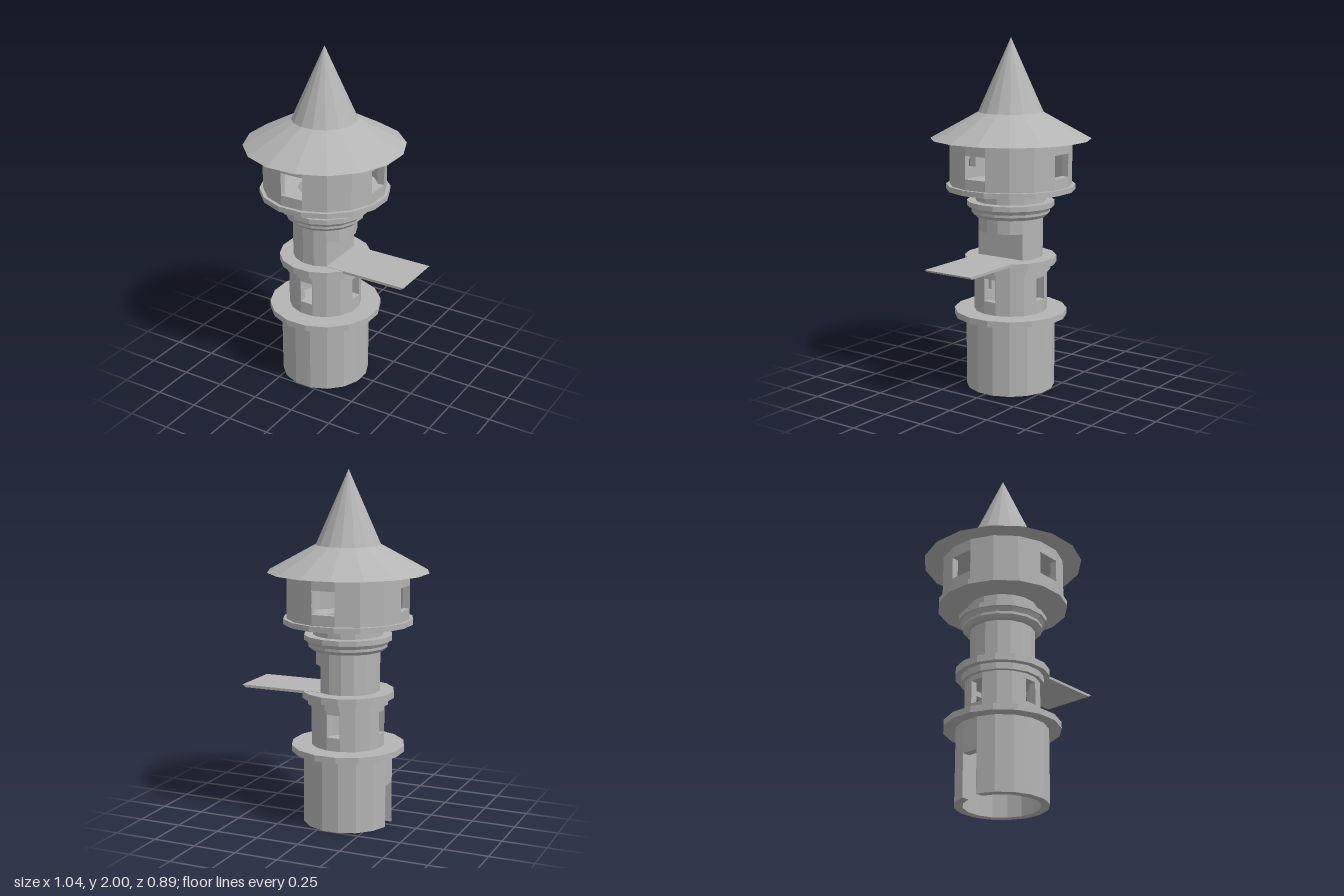
import * as THREE from 'three';

const SIDES = 16;
const STEP = (Math.PI * 2) / SIDES;
const COS = Math.cos(STEP / 2);

const stone = new THREE.MeshStandardMaterial({ color: 0xb4b4b4 });
stone.name = 'grey stone';

export function createModel() {
  const model = new THREE.Group();
  model.name = 'watchtower';
  const tower = new THREE.Group();
  tower.name = 'tower';
  tower.position.x = -0.08;
  model.add(tower);

  const add = (name, geometry) => {
    const mesh = new THREE.Mesh(geometry, stone);
    mesh.name = name;
    tower.add(mesh);
    return mesh;
  };

  // Faceted turned part; profile is [distance to flat side, y], outside going up
  const turned = (name, profile) => {
    const pts = profile.map(([a, y]) => new THREE.Vector2(a / COS, y));
    const geo = new THREE.LatheGeometry(pts, SIDES, STEP / 2).toNonIndexed();
    geo.computeVertexNormals();
    return add(name, geo);
  };
  const ring = (name, inner, outer, y0, y1) => turned(name,
    [[inner, y0], [outer, y0], [outer, y1], [inner, y1], [inner, y0]]);
  const disc = (name, r, y0, y1) => turned(name, [[0, y0], [r, y0], [r, y1], [0, y1]]);

  // Plan outline raised from y0 to y1
  const raised = (name, pts, y0, y1) => {
    const geo = new THREE.ExtrudeGeometry(new THREE.Shape(pts), { depth: y1 - y0, bevelEnabled: false });
    geo.rotateX(-Math.PI / 2);
    geo.translate(0, y0, 0);
    return add(name, geo);
  };
  const polar = (r, a) => new THREE.Vector2(r * Math.cos(a), r * Math.sin(a));

  // Wall between two openings of half width w, spanning a number of quarter turns
  const wallSector = (name, inner, outer, w, start, quarters, y0, y1) => {
    const end = start + quarters * Math.PI / 2;
    const n = quarters * 4;
    const ri = inner / COS;
    const jamb = Math.asin(w / ri);
    const tilt = Math.atan2(w, outer);
    const edge = Math.hypot(w, outer);
    const pts = [polar(edge, start + tilt)];
    for (let j = 0; j < n; j++) pts.push(polar(outer / COS, start + STEP * (j + 0.5)));
    pts.push(polar(edge, end - tilt), polar(ri, end - jamb));
    for (let j = n - 2; j >= 1; j--) pts.push(polar(ri, start + STEP * (j + 0.5)));
    pts.push(polar(ri, start + jamb));
    raised(name, pts, y0, y1);
  };
  const windowedWall = (name, inner, outer, w, y0, sill, head, y1) => {
    ring(name + 'Lower', inner, outer, y0, sill);
    for (let q = 0; q < 4; q++) wallSector(name + 'Pier', inner, outer, w, q * Math.PI / 2, 1, sill, head);
    ring(name + 'Upper', inner, outer, head, y1);
  };

  // Hollow base with a doorway on the -x side
  wallSector('baseWallBesideDoor', 0.205, 0.25, 0.048, Math.PI, 4, 0, 0.24);
  ring('baseWallUpper', 0.205, 0.25, 0.24, 0.42);
  disc('baseLedge', 0.317, 0.42, 0.455);

  // Middle storey with four windows and a stepped collar
  windowedWall('middleWall', 0.165, 0.205, 0.038, 0.455, 0.53, 0.66, 0.69);
  turned('middleCollar', [[0, 0.69], [0.225, 0.69], [0.225, 0.728], [0.257, 0.728], [0.257, 0.768], [0, 0.768]]);

  // Shaft cut flat behind the landing, whole above it
  const cut = [];
  for (let j = 2; j < SIDES - 2; j++) cut.push(polar(0.18 / COS, STEP * (j + 0.5)));
  raised('shaftBehindLanding', cut, 0.768, 0.918);
  disc('shaftUpper', 0.18, 0.918, 1.0);

  // Landing platform with a bevelled outer end
  const deck = new THREE.Shape([[0.1, 0.755], [0.575, 0.755], [0.595, 0.77], [0.1, 0.77]]
    .map(([x, y]) => new THREE.Vector2(x, y)));
  const deckGeo = new THREE.ExtrudeGeometry(deck, { depth: 0.306, bevelEnabled: false });
  deckGeo.translate(0, 0, -0.153);
  add('landingPlatform', deckGeo);

  // Moulded corbel, neck and room floor with a stairwell
  turned('corbel', [[0, 1.0], [0.2, 1.0], [0.22, 1.02], [0.22, 1.035], [0.235, 1.058],
    [0.245, 1.058], [0.245, 1.087], [0, 1.087]]);
  ring('neck', 0.15, 0.195, 1.087, 1.15);
  ring('roomFloor', 0.15, 0.36, 1.15, 1.18);

  // Lookout room with four windows
  windowedWall('roomWall', 0.3, 0.34, 0.068, 1.18, 1.24, 1.37, 1.44);

  // Broad brim and tall spire
  turned('roofBrim', [[0, 1.438], [0.445, 1.438], [0.18, 1.587]]);
  turned('spire', [[0.18, 1.587], [0, 2.0]]);

  return model;
}
